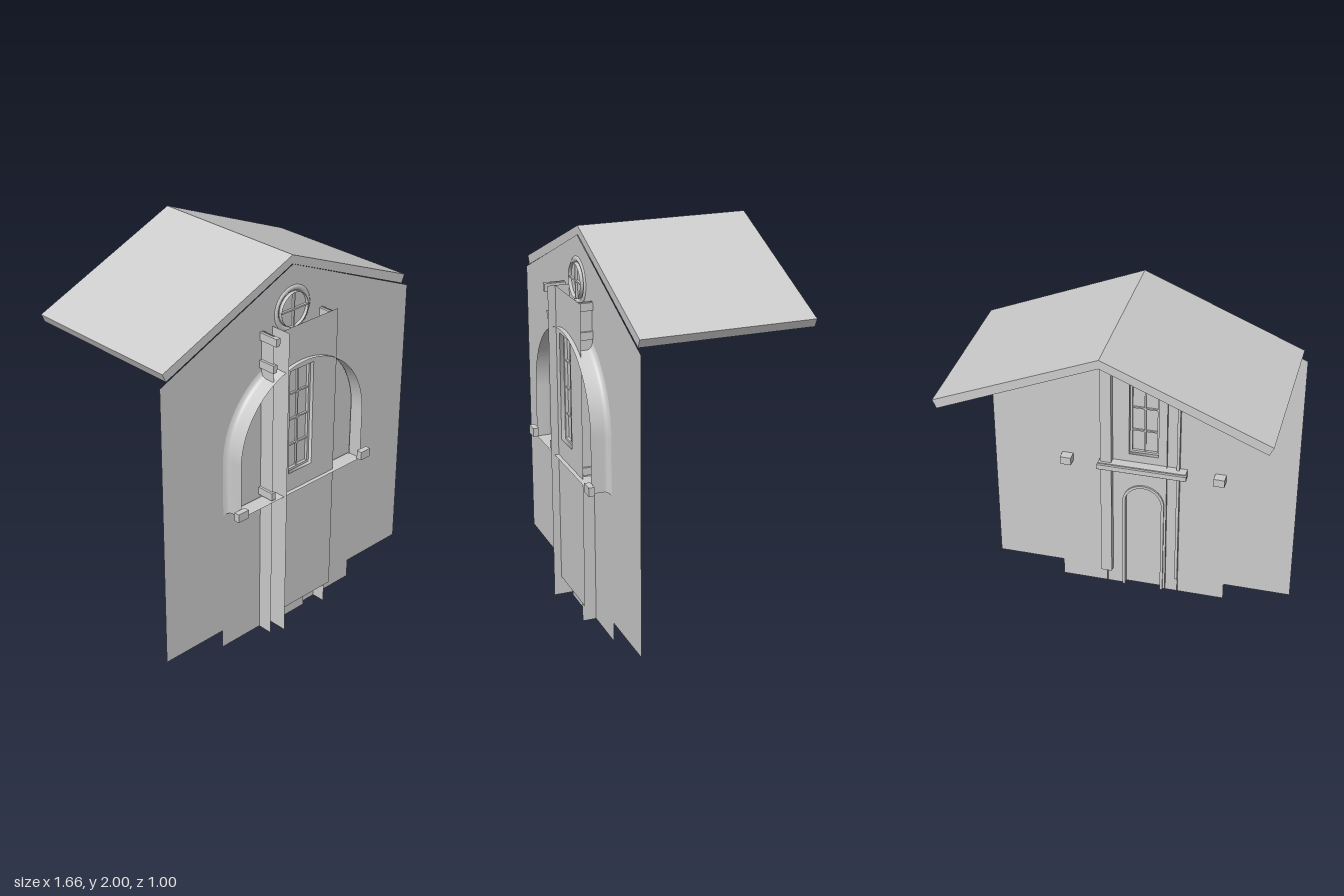
import * as THREE from 'three';

export function createModel() {
  const model = new THREE.Group();
  const plaster = new THREE.MeshStandardMaterial({ color: 0xcccccc, side: THREE.DoubleSide });
  plaster.name = 'pale grey plaster';

  const add = (name, geo, x = 0, y = 0, z = 0) => {
    const m = new THREE.Mesh(geo, plaster);
    m.name = name;
    m.position.set(x, y, z);
    model.add(m);
    return m;
  };
  // box given by its limits on each axis
  const block = (name, x0, x1, y0, y1, z0, z1) =>
    add(name, new THREE.BoxGeometry(x1 - x0, y1 - y0, z1 - z0), (x0 + x1) / 2, (y0 + y1) / 2, (z0 + z1) / 2);
  const poly = pts => new THREE.Shape(pts.map(p => new THREE.Vector2(p[0], p[1])));
  const rect = (x0, x1, y0, y1) => [[x0, y0], [x1, y0], [x1, y1], [x0, y1]];
  // outline of an opening with a round head, from its right foot to its left foot
  const archPoints = (r, foot, spring, n = 32) => {
    const pts = [[r, foot]];
    for (let i = 0; i <= n; i++) {
      const a = Math.PI * i / n;
      pts.push([r * Math.cos(a), spring + r * Math.sin(a)]);
    }
    pts.push([-r, foot]);
    return pts;
  };
  // open sheet swept through several outlines, each with its own depth
  const loft = (name, rows, closed) => {
    const n = rows[0].length, pos = [], idx = [];
    rows.forEach(row => row.forEach(p => pos.push(...p)));
    for (let r = 0; r < rows.length - 1; r++) {
      for (let i = 0; i < (closed ? n : n - 1); i++) {
        const a = r * n + i, b = r * n + (i + 1) % n;
        idx.push(a, b, b + n, a, b + n, a + n);
      }
    }
    let g = new THREE.BufferGeometry();
    g.setAttribute('position', new THREE.Float32BufferAttribute(pos, 3));
    g.setIndex(idx);
    g.computeVertexNormals();
    return add(name, g);
  };
  const atZ = (pts, z) => pts.map(p => [p[0], p[1], z]);

  const WALL = 0.378, PANEL = 0.45;
  const windowRect = rect(-0.08, 0.08, 0.89, 1.45);
  const roundY = 1.73, roundR = 0.088;

  // gabled wall sheet with door notch, window and round window openings
  const door = archPoints(0.1, 0, 0.58);
  const wall = poly([
    [-0.46, 0], ...door.slice().reverse(), [0.46, 0], [0.46, 0.1], [0.83, 0.1],
    [0.83, 1.6], [0, 1.955], [-0.83, 1.6], [-0.83, 0.1], [-0.46, 0.1],
  ]);
  wall.holes.push(poly(windowRect));
  wall.holes.push(new THREE.Path().absarc(0, roundY, roundR, 0, Math.PI * 2, true));
  add('wall', new THREE.ShapeGeometry(wall, 32), 0, 0, WALL);

  // pitched roof slab
  const roof = poly([[0, 1.955], [0.79, 1.62], [0.81, 1.663], [0, 2], [-0.81, 1.663], [-0.79, 1.62]]);
  add('roof', new THREE.ExtrudeGeometry(roof, { depth: 0.875, bevelEnabled: false }), 0, 0, -0.5);

  // tall front panel and upright fins
  const panel = poly(rect(-0.13, 0.24, 0.1, 1.68));
  panel.holes.push(poly(windowRect));
  add('frontPanel', new THREE.ShapeGeometry(panel), 0, 0, PANEL);
  [[-0.2, 0.36, 0.46], [-0.13, 0.36, 0.49], [0.2, 0.36, 0.45]].forEach(([x, z0, z1]) => {
    const fin = add('uprightFin', new THREE.PlaneGeometry(z1 - z0, 1.68), x, 0.84, (z0 + z1) / 2);
    fin.rotation.y = Math.PI / 2;
  });

  // window: reveal, pane, frame and glazing bars
  loft('windowReveal', [atZ(windowRect, WALL), atZ(windowRect, PANEL)], true);
  add('windowPane', new THREE.PlaneGeometry(0.16, 0.56), 0, 1.17, 0.415);
  for (const s of [-1, 1]) {
    block('windowStile', s * 0.074 - 0.006, s * 0.074 + 0.006, 0.89, 1.45, 0.4, 0.43);
    block('windowRail', -0.08, 0.08, 1.17 + s * 0.274 - 0.006, 1.17 + s * 0.274 + 0.006, 0.4, 0.43);
  }
  block('glazingBar', -0.004, 0.004, 0.89, 1.45, 0.405, 0.425);
  for (let i = 1; i < 4; i++) {
    const y = 0.89 + 0.14 * i;
    block('glazingBar', -0.075, 0.075, y - 0.004, y + 0.004, 0.405, 0.425);
  }

  // arched door set back in the wall, with a raised surround
  loft('doorReveal', [atZ(door, 0.366), atZ(door, 0.4)], false);
  add('door', new THREE.ShapeGeometry(poly(door)), 0, 0, 0.4);
  const surround = poly([...archPoints(0.115, 0.0, 0.58), ...archPoints(0.1, 0.0, 0.58).reverse()]);
  add('doorSurround', new THREE.ExtrudeGeometry(surround, { depth: 0.01, bevelEnabled: false }), 0, 0, 0.366);

  // round window: collar, pane, cross bars and rear rim
  const collar = add('roundWindowCollar', new THREE.CylinderGeometry(roundR, roundR, 0.035, 40, 1, true), 0, roundY, 0.38);
  collar.rotation.x = Math.PI / 2;
  add('roundWindowPane', new THREE.CircleGeometry(roundR, 40), 0, roundY, 0.38);
  block('roundWindowBar', -0.004, 0.004, roundY - roundR, roundY + roundR, 0.372, 0.392);
  block('roundWindowBar', -roundR, roundR, roundY - 0.004, roundY + 0.004, 0.372, 0.392);
  add('roundWindowRim', new THREE.TorusGeometry(0.105, 0.017, 10, 40), 0, roundY, 0.368);

  // large arch: thin band standing out from the wall on a flared foot
  const bandRow = (grow, z) => {
    const pts = archPoints(0.42 + grow, 0.79 - grow * 0.5, 1.07, 48);
    return atZ(pts, z);
  };
  loft('archBand', [
    bandRow(0.03, WALL), bandRow(0.014, 0.383), bandRow(0.004, 0.393), bandRow(0, 0.405), bandRow(0, 0.472),
  ], false);
  const sill = y => [[-0.42, y], [0.42, y]];
  loft('archSill', [atZ(sill(0.775), WALL), atZ(sill(0.785), 0.385), atZ(sill(0.79), 0.4), atZ(sill(0.79), 0.472)], false);

  // impost blocks at the feet of the arch and their stubs behind the wall
  for (const s of [-1, 1]) {
    block('impostBlock', s * 0.43 - 0.033, s * 0.43 + 0.033, 0.797, 0.842, 0.47, 0.5);
    block('impostStub', s * 0.42 - 0.03, s * 0.42 + 0.03, 0.797, 0.842, 0.325, WALL);
  }

  // rear pilaster and moulded bands, with their ends showing at the front
  block('rearPilaster', 0.17, 0.23, 0.1, 1.66, 0.34, WALL);
  block('rearPilasterEdge', -0.2, -0.185, 0.1, 1.66, 0.355, WALL);
  for (const y of [0.82, 1.512, 1.655]) {
    block('band', -0.24, 0.24, y - 0.022, y + 0.022, 0.325, WALL);
    block('bandNose', -0.245, 0.245, y - 0.012, y + 0.016, 0.312, 0.33);
    block('bandEnd', -0.213, -0.188, y - 0.02, y + 0.02, WALL, y > 1.6 ? 0.487 : 0.47);
    block('bandEnd', 0.187, 0.212, y - 0.02, y + 0.02, WALL, 0.445);
  }
  return model;
}
